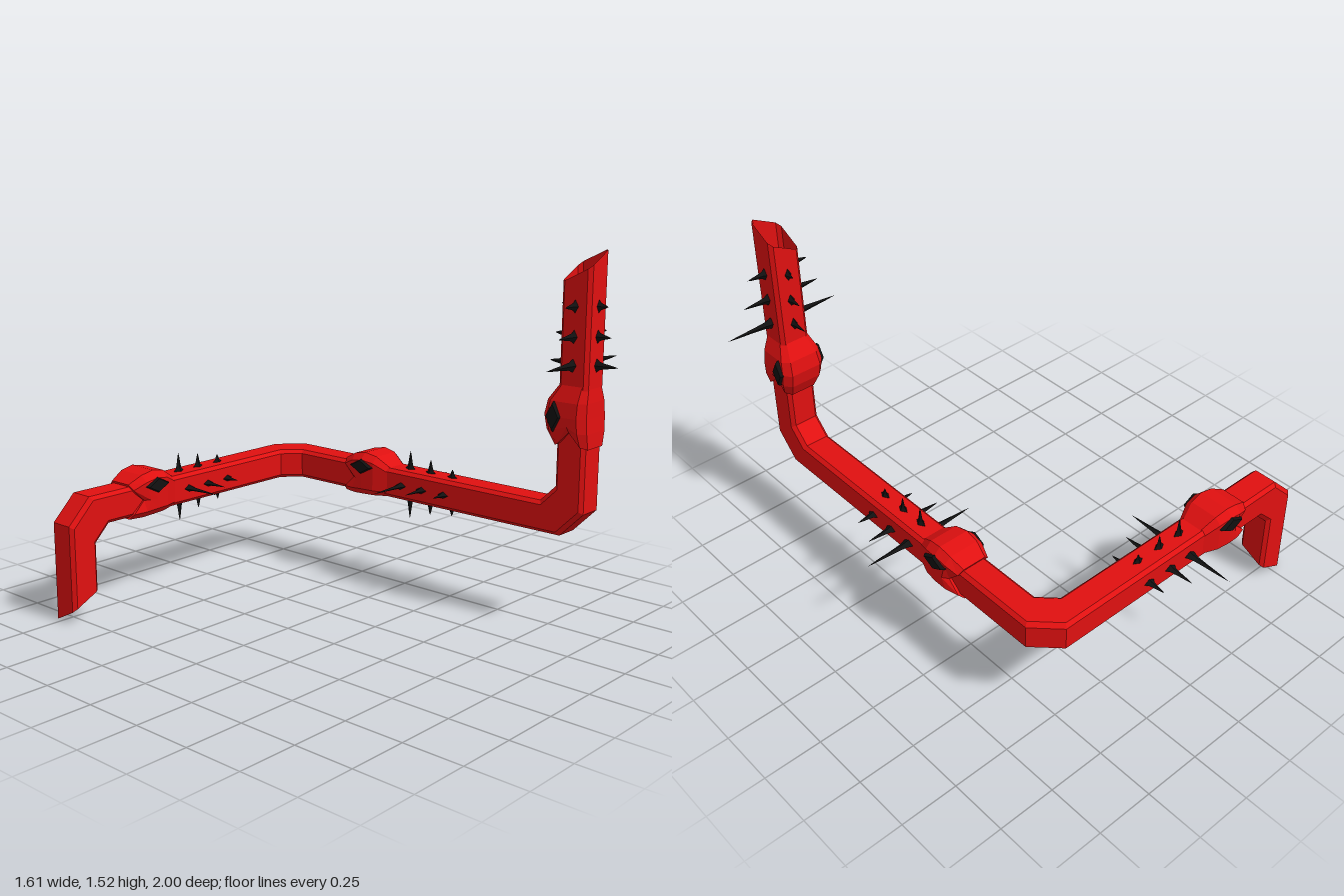
import * as THREE from 'three';

const red = new THREE.MeshStandardMaterial({ color: 0xe01010, flatShading: true, side: THREE.DoubleSide });
const black = new THREE.MeshStandardMaterial({ color: 0x111111, flatShading: true });
const V = (x, y, z) => new THREE.Vector3(x, y, z);

function addMesh(parent, name, geometry, material) {
  const mesh = new THREE.Mesh(geometry, material);
  mesh.name = name;
  parent.add(mesh);
  return mesh;
}

// Skin a list of equal-length rings of points
function loft(rings) {
  const n = rings[0].length;
  const index = [];
  for (let i = 0; i < rings.length - 1; i++) {
    for (let j = 0; j < n; j++) {
      const a = i * n + j, b = i * n + (j + 1) % n;
      index.push(a, b, b + n, a, b + n, a + n);
    }
  }
  const g = new THREE.BufferGeometry().setFromPoints(rings.flat());
  g.setIndex(index);
  const flat = g.toNonIndexed();
  flat.computeVertexNormals();
  return flat;
}

// Open square stem with chamfered edges, three cut corners and slanted ends
function stemGeometry() {
  const h = 0.065, k = 0.05;
  let offsets = [[h, -k], [h, k], [k, h], [-k, h], [-h, k], [-h, -k], [-k, -h], [k, -h]]
    .map(([z, x]) => V(x, 0, z));
  const slantedEnd = (c) => offsets.map((v) => c.clone().add(v).add(V(0, 0.5 * (v.x + v.z), 0)));
  const rings = [slantedEnd(V(-0.74, 0.06, -0.73))];
  const dirs = [V(0, 1, 0), V(1, 0, 0), V(0, 0, 1), V(0, 1, 0)];
  const corners = [V(-0.74, 0.455, -0.73), V(0.535, 0.455, -0.73), V(0.535, 0.455, 0.837)];
  corners.forEach((c, i) => {
    const d1 = dirs[i], d2 = dirs[i + 1];
    const before = [], after = [], turned = [];
    for (const v of offsets) {
      const out = -v.dot(d2);
      const cut = 0.0875 + 0.27 * out;
      const w = v.clone().addScaledVector(d2, out).addScaledVector(d1, out);
      const p = c.clone().add(w).addScaledVector(d2, -out);
      before.push(p.clone().addScaledVector(d1, -cut));
      after.push(p.clone().addScaledVector(d2, cut));
      turned.push(w);
    }
    rings.push(before, after);
    offsets = turned;
  });
  rings.push(slantedEnd(V(0.535, 1.465, 0.837)));
  return loft(rings);
}

// Swollen knuckle along z: humped on +y, with a V notch in its rear rim
function knuckleGeometry() {
  // z, half width, top, bottom, notch depth
  const sections = [
    [-0.115, 0.06, 0.06, 0.06, 0.06],
    [-0.122, 0.076, 0.075, 0.075, 0.062],
    [-0.06, 0.094, 0.107, 0.075, 0.025],
    [0, 0.097, 0.119, 0.072, 0],
    [0.06, 0.09, 0.107, 0.07, 0],
    [0.125, 0.064, 0.064, 0.064, 0],
  ];
  return loft(sections.map(([z, w, t, b, notch]) => {
    const c = 0.3 * w;
    return [
      [w, 0, 1], [w, t - c, 0.15], [w - c, t, 0], [c - w, t, 0], [-w, t - c, 0.15],
      [-w, 0, 1], [-w, c - b, 0.15], [c - w, -b, 0], [w - c, -b, 0], [w, c - b, 0.15],
    ].map(([x, y, f]) => V(x, y, z + notch * f));
  }));
}

// Four-sided solid along +x with a diamond section, from a [radius, x] profile
function diamondSolid(profile, halfY, halfZ) {
  const g = new THREE.LatheGeometry(profile.map(([r, x]) => new THREE.Vector2(r, x)), 4);
  return g.rotateZ(-Math.PI / 2).scale(1, halfY, halfZ);
}

function thornGeometry(reach) {
  const base = 0.05, len = reach - 0.065;
  return diamondSolid([
    [0, base], [1.15, base], [1, 0.066], [0.6, 0.066 + len * 0.15],
    [0.4, 0.066 + len * 0.4], [0.2, 0.066 + len * 0.75], [0, reach],
  ], 0.015, 0.026);
}

// One knuckle with its side studs and three rows of thorns
function createNode(knuckle) {
  const node = new THREE.Group();
  addMesh(node, 'knuckle', knuckle, red);
  const stud = diamondSolid([[0, 0.06], [1, 0.06], [1, 0.099], [0.85, 0.108], [0, 0.108]], 0.033, 0.061);
  for (const turn of [0, Math.PI]) {
    const m = addMesh(node, 'sideStud', stud, black);
    m.position.y = 0.06;
    m.rotation.y = turn;
  }
  // z, then reach toward +x, +y, -x, -y
  const rows = [
    [0.203, 0.27, 0.147, 0.25, 0.16],
    [0.315, 0.182, 0.125, 0.175, 0.125],
    [0.432, 0.145, 0.1, 0.135, 0.107],
  ];
  for (const [z, ...reaches] of rows) {
    reaches.forEach((reach, i) => {
      const m = addMesh(node, 'thorn', thornGeometry(reach), black);
      m.position.z = z;
      m.rotation.z = i * Math.PI / 2;
    });
  }
  return node;
}

export function createModel() {
  const model = new THREE.Group();
  model.name = 'thornyVine';
  addMesh(model, 'stem', stemGeometry(), red);

  // Nodes: position, growth direction, hump direction
  const knuckle = knuckleGeometry();
  const nodes = [
    [V(-0.375, 0.455, -0.73), V(1, 0, 0), V(0, 1, 0)],
    [V(0.535, 0.455, -0.207), V(0, 0, 1), V(0, 1, 0)],
    [V(0.535, 0.88, 0.837), V(0, 1, 0), V(0, 0, -1)],
  ];
  for (const [position, along, hump] of nodes) {
    const node = createNode(knuckle);
    node.name = 'thornNode';
    const side = hump.clone().cross(along);
    node.quaternion.setFromRotationMatrix(new THREE.Matrix4().makeBasis(side, hump, along));
    node.position.copy(position);
    model.add(node);
  }
  return model;
}
